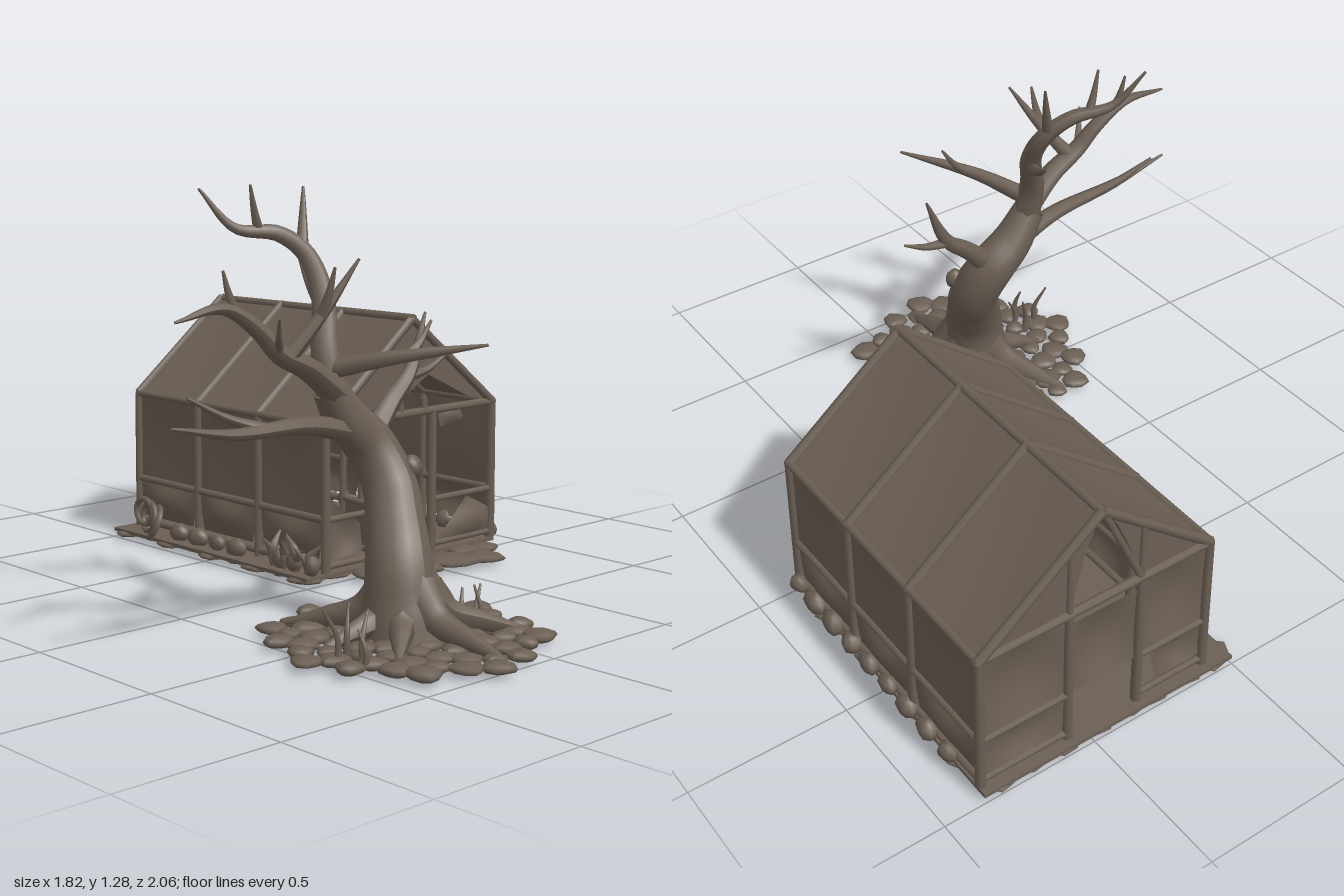
import * as THREE from 'three';

export function createModel() {
  const model = new THREE.Group();
  const weathered = new THREE.MeshStandardMaterial({ color: 0x6b5f54, side: THREE.DoubleSide });
  weathered.name = 'weathered brown';
  const V = (p) => new THREE.Vector3(...p);

  let seed = 7;
  const rnd = () => (seed = (seed * 16807) % 2147483647) / 2147483647;

  const group = (name) => {
    const g = new THREE.Group();
    g.name = name;
    model.add(g);
    return g;
  };
  const add = (parent, name, geo) => {
    const m = new THREE.Mesh(geo, weathered);
    m.name = name;
    parent.add(m);
    return m;
  };

  // Round limb along a curve; radii are spread evenly along its length
  const limb = (parent, name, pts, radii, sides = 7) => {
    const curve = new THREE.CatmullRomCurve3(pts.map(V));
    const n = pts.length * 5;
    const geo = new THREE.TubeGeometry(curve, n, 1, sides, false);
    const pos = geo.attributes.position, v = new THREE.Vector3();
    for (let i = 0; i <= n; i++) {
      const c = curve.getPointAt(i / n);
      const t = (i / n) * (radii.length - 1), k = Math.min(Math.floor(t), radii.length - 2);
      const r = THREE.MathUtils.lerp(radii[k], radii[k + 1], t - k);
      for (let j = 0; j <= sides; j++) {
        const id = i * (sides + 1) + j;
        v.fromBufferAttribute(pos, id).sub(c).multiplyScalar(r).add(c);
        pos.setXYZ(id, v.x, v.y, v.z);
      }
    }
    geo.computeVertexNormals();
    add(parent, name, geo);
    return curve;
  };

  // Straight pole between two points
  const beam = (parent, name, a, b, r = 0.014) => {
    const A = V(a), B = V(b), d = B.clone().sub(A);
    const m = add(parent, name, new THREE.CylinderGeometry(r * 0.9, r, d.length(), 7));
    m.position.copy(A).add(B).multiplyScalar(0.5);
    m.quaternion.setFromUnitVectors(new THREE.Vector3(0, 1, 0), d.normalize());
  };

  // Cloth sheet across four corners (a-b lower edge, d-c upper edge), bulging along its normal
  const sheet = (parent, name, a, b, c, d, bulge) => {
    const [A, B, C, D] = [a, b, c, d].map(V);
    const normal = B.clone().sub(A).cross(D.clone().sub(A)).normalize();
    const geo = new THREE.PlaneGeometry(1, 1, 8, 8);
    const pos = geo.attributes.position;
    for (let i = 0; i < pos.count; i++) {
      const u = pos.getX(i) + 0.5, w = pos.getY(i) + 0.5;
      const p = A.clone().lerp(B, u).lerp(D.clone().lerp(C, u), w);
      p.addScaledVector(normal, bulge * Math.sin(u * Math.PI) * Math.sin(w * Math.PI));
      pos.setXYZ(i, p.x, p.y, p.z);
    }
    geo.computeVertexNormals();
    add(parent, name, geo);
  };

  // Flat worn stone with a slightly uneven outline
  const stone = (parent, name, x, y, z, rx, ry, rz) => {
    const geo = new THREE.SphereGeometry(1, 9, 6);
    const pos = geo.attributes.position, ph = rnd() * 6;
    for (let i = 0; i < pos.count; i++) {
      const px = pos.getX(i), pz = pos.getZ(i);
      const k = 1 + 0.1 * Math.sin(3 * Math.atan2(pz, px) + ph);
      pos.setXYZ(i, px * k, pos.getY(i), pz * k);
    }
    geo.scale(rx, ry, rz);
    geo.computeVertexNormals();
    const m = add(parent, name, geo);
    m.position.set(x, y, z);
    m.rotation.y = (rnd() - 0.5) * 0.6;
  };

  // ---------- Tree ----------
  const tree = group('tree');
  limb(tree, 'trunk', [[-0.19, 0.01, 0.61], [-0.2, 0.1, 0.61], [-0.19, 0.22, 0.59], [-0.155, 0.32, 0.54],
    [-0.12, 0.42, 0.48], [-0.15, 0.53, 0.43], [-0.23, 0.61, 0.42], [-0.3, 0.71, 0.42]],
  [0.14, 0.105, 0.095, 0.085, 0.08, 0.075, 0.065, 0.05], 14);

  const branch = (r, ...pts) => limb(tree, 'branch', pts, [r, r * 0.75, r * 0.5, 0.004]);
  // Side shoot leaving its parent curve at t and curling up to a tip
  const shoot = (parent, t, r, ...tip) => {
    const a = parent.getPointAt(t), mid = a.clone().lerp(V(tip), 0.5);
    mid.y -= 0.012;
    return branch(r, a.toArray(), mid.toArray(), tip);
  };

  const crown = branch(0.046, [-0.29, 0.69, 0.42], [-0.29, 0.82, 0.39], [-0.25, 0.95, 0.34], [-0.25, 1.07, 0.27],
    [-0.32, 1.13, 0.23], [-0.45, 1.15, 0.19], [-0.535, 1.26, 0.14]);
  shoot(crown, 0.3, 0.022, -0.15, 1.05, 0.13);
  shoot(crown, 0.54, 0.02, -0.215, 1.26, 0.22);
  shoot(crown, 0.72, 0.016, -0.415, 1.27, 0.22);

  const upperLeft = branch(0.042, [-0.28, 0.69, 0.43], [-0.42, 0.78, 0.46], [-0.53, 0.83, 0.47], [-0.6, 0.9, 0.46],
    [-0.7, 0.96, 0.45], [-0.885, 0.94, 0.47]);
  shoot(upperLeft, 0.68, 0.016, -0.7, 1.06, 0.44);
  shoot(upperLeft, 0.42, 0.016, -0.6, 0.93, 0.55);
  const fork = shoot(upperLeft, 0.37, 0.026, -0.33, 1.08, 0.57);
  shoot(fork, 0.45, 0.018, -0.41, 1.06, 0.56);

  const lowLeft = branch(0.036, [-0.2, 0.57, 0.43], [-0.42, 0.62, 0.46], [-0.7, 0.63, 0.48], [-0.91, 0.67, 0.48]);
  shoot(lowLeft, 0.52, 0.02, -0.8, 0.73, 0.41);
  const right = branch(0.04, [-0.16, 0.53, 0.43], [-0.06, 0.64, 0.42], [0.03, 0.72, 0.41], [0.105, 0.89, 0.4]);
  shoot(right, 0.56, 0.018, 0.185, 0.76, 0.41);
  const forward = branch(0.03, [-0.29, 0.76, 0.42], [-0.2, 0.8, 0.58], [-0.04, 0.84, 0.78]);
  shoot(forward, 0.5, 0.016, -0.1, 0.9, 0.62);

  stone(tree, 'trunkKnot', -0.07, 0.47, 0.52, 0.03, 0.035, 0.03);

  // Roots fan out from the trunk foot
  for (let i = 0; i < 7; i++) {
    const a = 1.51 + i * 0.9, reach = 0.29 + 0.06 * Math.cos(i * 2.1);
    const at = (t, y) => [-0.19 + Math.cos(a) * reach * t, y, 0.61 + Math.sin(a) * reach * t];
    limb(tree, 'root', [at(0.08, 0.17), at(0.35, 0.08), at(0.65, 0.05), at(1, 0.02)], [0.07, 0.045, 0.03, 0.01]);
  }

  // Stone bed around the tree
  const bed = group('treeStoneBed');
  for (let i = 0; i < 76; i++) {
    const r = 0.385 * Math.sqrt((i + 0.5) / 76), a = i * 2.39996, s = 0.034 + rnd() * 0.018;
    stone(bed, 'bedStone', -0.19 + Math.cos(a) * r, 0.018, 0.62 + Math.sin(a) * r, s, 0.014 + rnd() * 0.006, s);
  }

  // Bare sprouts in two clumps
  const sprouts = group('sprouts');
  for (const [cx, cz] of [[-0.475, 0.7], [0.01, 0.67]]) for (let i = 0; i < 4; i++) {
    const a = i * 1.8, x = cx + Math.cos(a) * 0.035, z = cz + Math.sin(a) * 0.06, h = 0.1 + rnd() * 0.07;
    limb(sprouts, 'sprout', [[x, 0.01, z], [x, h * 0.5, z], [x + Math.cos(a) * 0.04, h, z - 0.02]], [0.011, 0.008, 0.003]);
  }

  // ---------- Greenhouse ----------
  const L = 0.09, R = 0.86, MID = 0.47, EAVE = 0.5, RAIL = 0.2, TOP = 0.81, FLOOR = 0.03;
  const bays = [-0.01, -0.33, -0.64, -0.965], posts = [L, 0.33, 0.57, R];
  const zf = bays[0], zb = bays[3];

  const base = group('base');
  add(base, 'floorSlab', new THREE.BoxGeometry(0.87, 0.012, 1)).position.set(0.435, 0.022, -0.5);
  for (let i = 0; i < 9; i++) for (let j = 0; j < 8; j++)
    stone(base, 'underStone', 0.045 + j * 0.107 + (i % 2) * 0.03, 0.013, -0.05 - i * 0.112, 0.066, 0.013, 0.06);
  // Paving before the door
  for (const [x, z, s] of [[0.24, 0.05, 0.07], [0.34, 0.1, 0.065], [0.42, 0.12, 0.05], [0.47, 0.04, 0.06],
    [0.55, 0.1, 0.09], [0.66, 0.14, 0.07], [0.68, 0.04, 0.06], [0.76, 0.05, 0.05]])
    stone(base, 'pavingStone', x, 0.018, z, s, 0.016, s * 1.05);
  // Rocks along both long sides
  for (let i = 0; i < 9; i++) {
    const s = 0.024 + rnd() * 0.012;
    stone(base, 'rightRock', 0.875, 0.05, -0.03 - i * 0.1, s, s * 1.1, s * 1.3);
    if (i > 3 && i < 8) stone(base, 'leftRock', 0.055, 0.05, -i * 0.1, s, s * 1.1, s * 1.3);
  }

  // Poles
  const frame = group('greenhouseFrame');
  for (const x of [L, R]) {
    for (const z of bays) {
      beam(frame, 'sidePost', [x, FLOOR, z], [x, EAVE, z], 0.016);
      beam(frame, 'rafter', [x, EAVE, z], [MID, TOP, z], 0.016);
    }
    for (const y of [0.05, RAIL, EAVE]) beam(frame, 'sideRail', [x, y, 0], [x, y, -0.97], 0.013);
  }
  beam(frame, 'ridgeBeam', [MID, TOP, 0], [MID, TOP - 0.005, -0.97], 0.015);
  for (const z of [zf, zb]) {
    beam(frame, 'endBeam', [L, EAVE, z], [R, EAVE, z], 0.015);
    for (const x of posts.slice(1, 3)) beam(frame, 'doorPost', [x, FLOOR, z], [x, EAVE, z], 0.016);
    for (const i of [0, 2]) for (const y of [0.05, RAIL])
      beam(frame, 'endRail', [posts[i], y, z], [posts[i + 1], y, z], 0.011);
  }
  for (const x of [0.42, 0.53]) beam(frame, 'brokenStub', [x, EAVE, zf], [x, 0.545, zf], 0.012);
  beam(frame, 'backGableStrut', [0.33, EAVE, zb], [0.33, 0.69, zb], 0.011);
  beam(frame, 'backGableStrut', [0.57, EAVE, zb], [0.57, 0.73, zb], 0.011);
  beam(frame, 'backBrace', [0.33, EAVE, zb], [MID, TOP, zb], 0.011);

  // Side and roof sheets, bay by bay
  const cover = group('greenhouseCover');
  for (let i = 0; i < 3; i++) {
    const f = bays[i], b = bays[i + 1];
    for (const [x, s] of [[L, -1], [R, 1]]) {
      sheet(cover, 'wallSheet', [x, RAIL, f], [x, RAIL, b], [x, EAVE, b], [x, EAVE, f], -0.008 * s);
      sheet(cover, 'lowerSheet', [x, 0.07, f - 0.03], [x, 0.07, b + 0.03], [x, RAIL, b], [x, RAIL, f], 0.025 * s);
      sheet(cover, 'roofSheet', [x, EAVE, f], [x, EAVE, b], [MID, TOP, b], [MID, TOP, f], -0.012 * s);
    }
    const top = i === 1 ? 0.46 : EAVE;
    sheet(cover, 'backSheet', [posts[i], RAIL, zb], [posts[i + 1], RAIL, zb], [posts[i + 1], top, zb], [posts[i], top, zb], 0.03);
  }

  // Torn sheets on both ends
  const endSheet = (name, z, bulge, ...corners) => sheet(cover, name, ...corners.map(([x, y]) => [x, y, z]), bulge);
  endSheet('backLowerSheet', zb, 0.02, [L, 0.07], [0.26, 0.07], [0.29, RAIL], [L, RAIL]);
  endSheet('backLowerSheet', zb, 0.02, [0.59, 0.06], [R, 0.06], [R, RAIL], [0.57, RAIL]);
  endSheet('frontLowerSheet', zf, -0.02, [L, 0.06], [0.25, 0.08], [0.24, 0.17], [L, 0.28]);
  endSheet('frontLowerSheet', zf, 0.02, [0.59, 0.05], [R, 0.05], [R, 0.13], [0.74, 0.19]);
  endSheet('frontTornSheet', zf, 0.01, [0.61, 0.44], [0.72, 0.46], [0.7, EAVE], [0.59, EAVE]);
  const gable = (name, z, ...pts) => {
    const outline = new THREE.Shape(pts.map(([x, y]) => new THREE.Vector2(x, y)));
    add(cover, name, new THREE.ShapeGeometry(outline)).position.z = z;
  };
  gable('frontGableSheet', zf, [L, EAVE], [0.3, 0.53], [0.45, 0.565], [0.55, 0.62], [0.74, 0.53], [R, EAVE], [MID, TOP]);
  gable('backGableSheet', zb, [L, EAVE], [0.33, EAVE], [0.36, 0.6], [0.42, 0.74], [MID, TOP]);
  gable('backGableSheet', zb, [0.57, EAVE], [R, EAVE], [MID, TOP], [0.52, 0.7]);

  // Door swung inward
  const door = group('door');
  const hinge = (y) => [0.345, y, -0.02], edge = (y) => [0.375, y, -0.23];
  for (const y of [0.05, RAIL, 0.46]) beam(door, 'doorRail', hinge(y), edge(y), 0.011);
  for (const side of [hinge, edge]) beam(door, 'doorStile', side(0.04), side(0.47), 0.012);
  sheet(door, 'doorSheet', hinge(0.05), edge(0.05), edge(RAIL), hinge(RAIL), 0.005);

  // Coiled hose at the back corner and a plant clump near the front
  const clutter = group('sideClutter');
  for (let i = 0; i < 3; i++) {
    const coil = add(clutter, 'hoseCoil', new THREE.TorusGeometry(0.045 + i * 0.005, 0.01, 6, 20));
    coil.position.set(0.035, 0.1 - i * 0.015, -0.87 + i * 0.025);
    coil.rotation.set(0.3 + i * 0.25, Math.PI / 2 - i * 0.3, 0);
  }
  for (let i = 0; i < 11; i++) {
    const a = i * 2.4, z = -0.2 + (i % 4) * 0.055, h = 0.1 + rnd() * 0.07;
    limb(clutter, 'plantLeaf', [[0.035, 0.03, z], [0.035, h * 0.6, z], [0.035 + Math.cos(a) * 0.035, h, z + Math.sin(a) * 0.05]],
      [0.008, 0.016, 0.003]);
  }
  for (const z of [-0.02, -0.1, -0.17]) stone(clutter, 'plantRoot', 0.04, 0.06, z, 0.025, 0.035, 0.03);

  return model;
}
